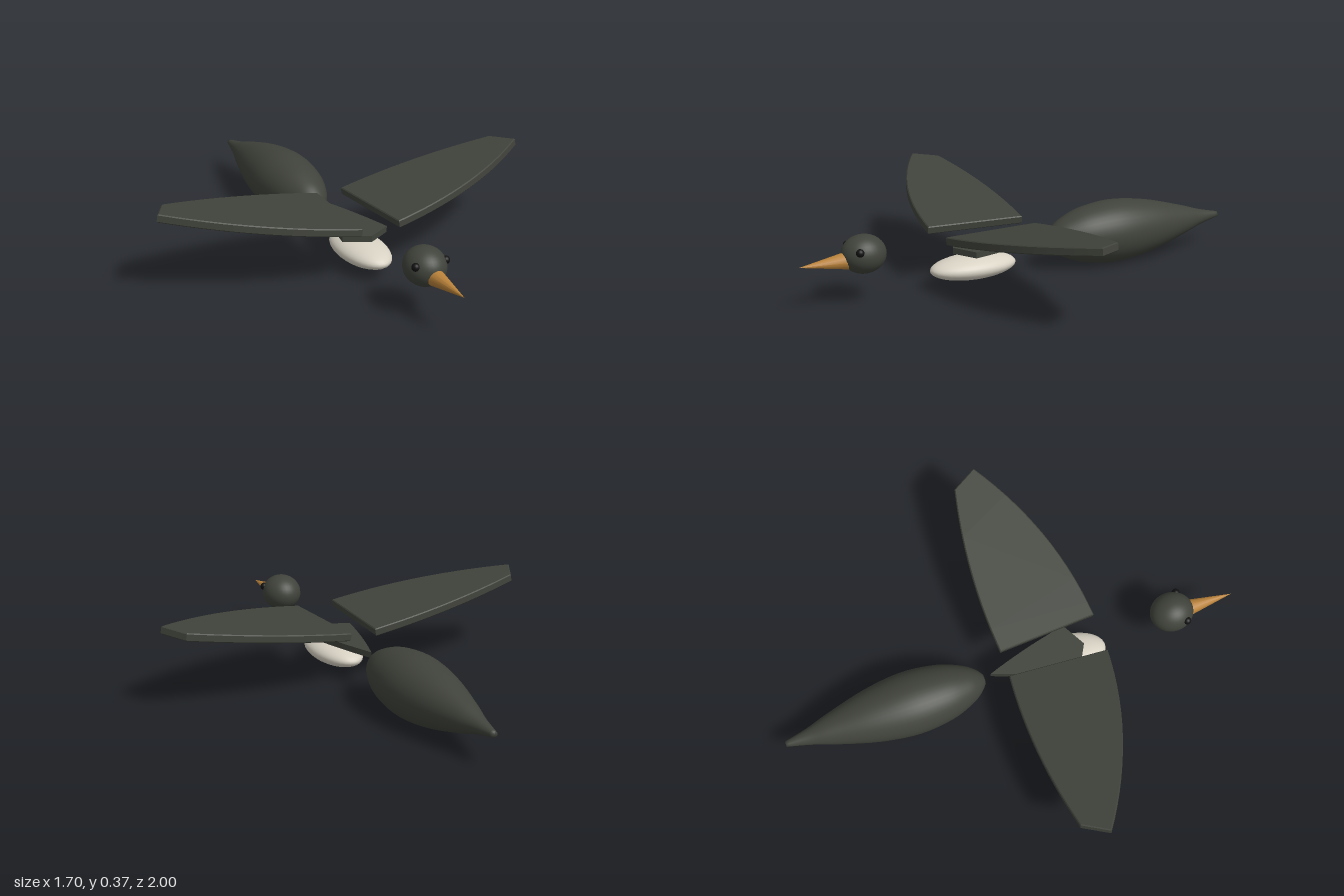
import * as THREE from 'three';

const mat = (color) => new THREE.MeshStandardMaterial({ color });
const plumage = mat(0x40433b);
const cream = mat(0xd8d2c4);
const horn = mat(0xb9823a);
const black = mat(0x111111);

function part(name, geometry, material, x = 0, y = 0, z = 0) {
  const mesh = new THREE.Mesh(geometry, material);
  mesh.name = name;
  mesh.position.set(x, y, z);
  return mesh;
}

const ellipsoid = (rx, ry, rz) => new THREE.SphereGeometry(1, 32, 20).scale(rx, ry, rz);

// Flat slab from an outline in the x-z plane, its underside at y = 0
function slab(shape, thickness, bevel) {
  const geometry = new THREE.ExtrudeGeometry(shape, {
    depth: thickness - 2 * bevel,
    bevelEnabled: bevel > 0,
    bevelSize: bevel,
    bevelThickness: bevel,
    bevelOffset: -bevel,
    bevelSegments: 1,
    curveSegments: 14,
  });
  return geometry.rotateX(Math.PI / 2).translate(0, thickness - bevel, 0);
}

// Wing outline, measured outward from the root; s = 1 left, -1 right
function wing(s) {
  const slope = 0.16;
  const stretch = Math.hypot(1, slope);
  const X = (x) => s * (x - 0.06) * stretch;
  const shape = new THREE.Shape();
  shape.moveTo(X(0.062), -0.03);
  shape.lineTo(X(0.089), 0.398);
  shape.quadraticCurveTo(X(0.5), 0.365, X(0.85), 0.122);
  shape.lineTo(X(0.787), 0.015);
  shape.quadraticCurveTo(X(0.42), -0.065, X(0.062), -0.03);
  const mesh = part(s > 0 ? 'leftWing' : 'rightWing', slab(shape, 0.034, 0.004), plumage, s * 0.06, 0.217, 0);
  mesh.rotation.z = s * Math.atan(slope);
  return mesh;
}

export function createModel() {
  const bird = new THREE.Group();
  bird.name = 'bird';

  // Teardrop body, tapering to the rear
  const curve = new THREE.SplineCurve([
    [0.012, -1], [0.036, -0.9], [0.068, -0.8], [0.116, -0.62], [0.137, -0.45],
    [0.121, -0.3], [0.085, -0.2], [0.052, -0.15], [0.02, -0.123],
  ].map(([r, z]) => new THREE.Vector2(r, z)));
  const profile = [new THREE.Vector2(0, -1), ...curve.getPoints(40), new THREE.Vector2(0, -0.122)];
  bird.add(part('body', new THREE.LatheGeometry(profile, 40).rotateX(Math.PI / 2), plumage, 0, 0.144, 0));

  // Pale belly
  bird.add(part('belly', ellipsoid(0.1, 0.051, 0.194), cream, 0, 0.086, 0.234));

  // Thin kite-shaped plate between the wings
  const kite = new THREE.Shape();
  kite.moveTo(0, -0.095);
  kite.quadraticCurveTo(0.065, 0.08, 0.105, 0.27);
  kite.lineTo(0, 0.327);
  kite.lineTo(-0.105, 0.27);
  kite.quadraticCurveTo(-0.065, 0.08, 0, -0.095);
  bird.add(part('backPlate', slab(kite, 0.026, 0), plumage, 0, 0.152, 0));

  // Head with beak
  bird.add(part('head', ellipsoid(0.085, 0.08, 0.094), plumage, 0, 0.212, 0.724));
  bird.add(part('beak', new THREE.ConeGeometry(0.038, 0.21, 12).rotateX(Math.PI / 2), horn, 0, 0.194, 0.895));

  // Paired eyes and wings
  for (const s of [1, -1]) {
    bird.add(part(s > 0 ? 'leftEye' : 'rightEye', new THREE.SphereGeometry(0.017, 16, 12), black, s * 0.068, 0.238, 0.766));
    bird.add(wing(s));
  }
  return bird;
}
